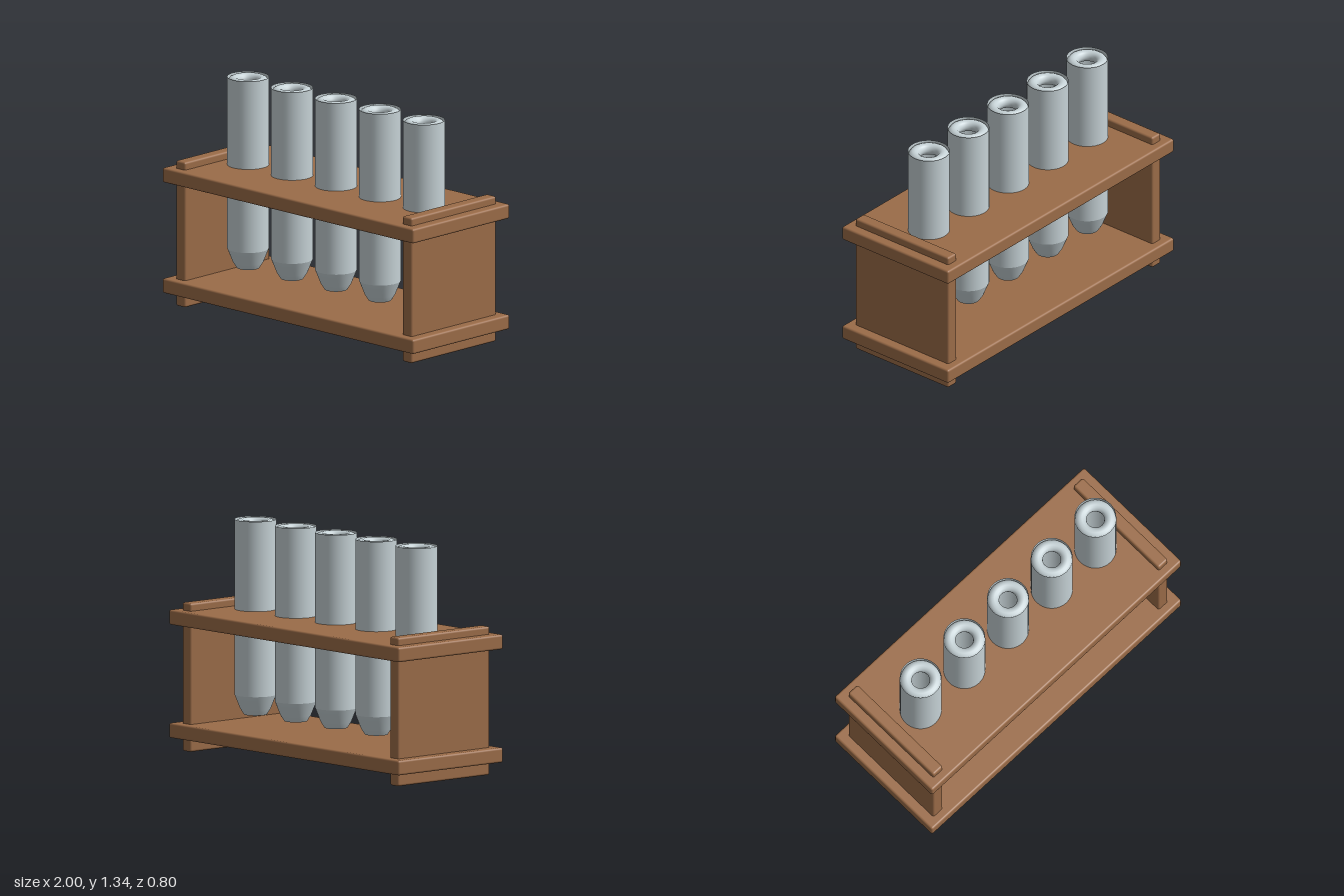
import * as THREE from 'three';
import { RoundedBoxGeometry } from 'three/addons/geometries/RoundedBoxGeometry.js';

export function createModel() {
  const model = new THREE.Group();
  model.name = 'testTubeRack';

  const wood = new THREE.MeshStandardMaterial({ color: 0x9b6c48 });
  wood.name = 'wood';
  const glass = new THREE.MeshStandardMaterial({ color: 0xc6d2d6, side: THREE.DoubleSide });
  glass.name = 'paleGlass';

  const add = (parent, name, geometry, material, x, y, z) => {
    const mesh = new THREE.Mesh(geometry, material);
    mesh.name = name;
    mesh.position.set(x, y, z);
    parent.add(mesh);
    return mesh;
  };

  // Two shelves
  const shelf = new RoundedBoxGeometry(2, 0.086, 0.8, 3, 0.013);
  add(model, 'bottomShelf', shelf, wood, 0, 0.117, 0);
  add(model, 'topShelf', shelf, wood, 0, 0.772, 0);

  // End boards that pass through both shelves
  const board = new RoundedBoxGeometry(0.076, 0.86, 0.7, 3, 0.013);
  add(model, 'leftEndBoard', board, wood, 0.902, 0.43, 0);
  add(model, 'rightEndBoard', board, wood, -0.902, 0.43, 0);

  // Straight tube wall, tapered lower end and rounded inner lip
  const wall = new THREE.CylinderGeometry(0.12, 0.12, 1.015, 40, 1, true);
  const tip = new THREE.LatheGeometry([
    [0, 0.205], [0.066, 0.205], [0.066, 0.205], [0.088, 0.24], [0.12, 0.32],
  ].map(([r, y]) => new THREE.Vector2(r, y)), 40);
  const lip = new THREE.TorusGeometry(0.085, 0.034, 14, 40).rotateX(Math.PI / 2);

  for (let i = 0; i < 5; i++) {
    const tube = new THREE.Group();
    tube.name = `tube${i + 1}`;
    tube.position.x = (i - 2) * 0.35;
    add(tube, 'tubeWall', wall, glass, 0, 0.8275, 0);
    add(tube, 'tubeTip', tip, glass, 0, 0, 0);
    add(tube, 'tubeLip', lip, glass, 0, 1.301, 0);
    model.add(tube);
  }
  return model;
}
